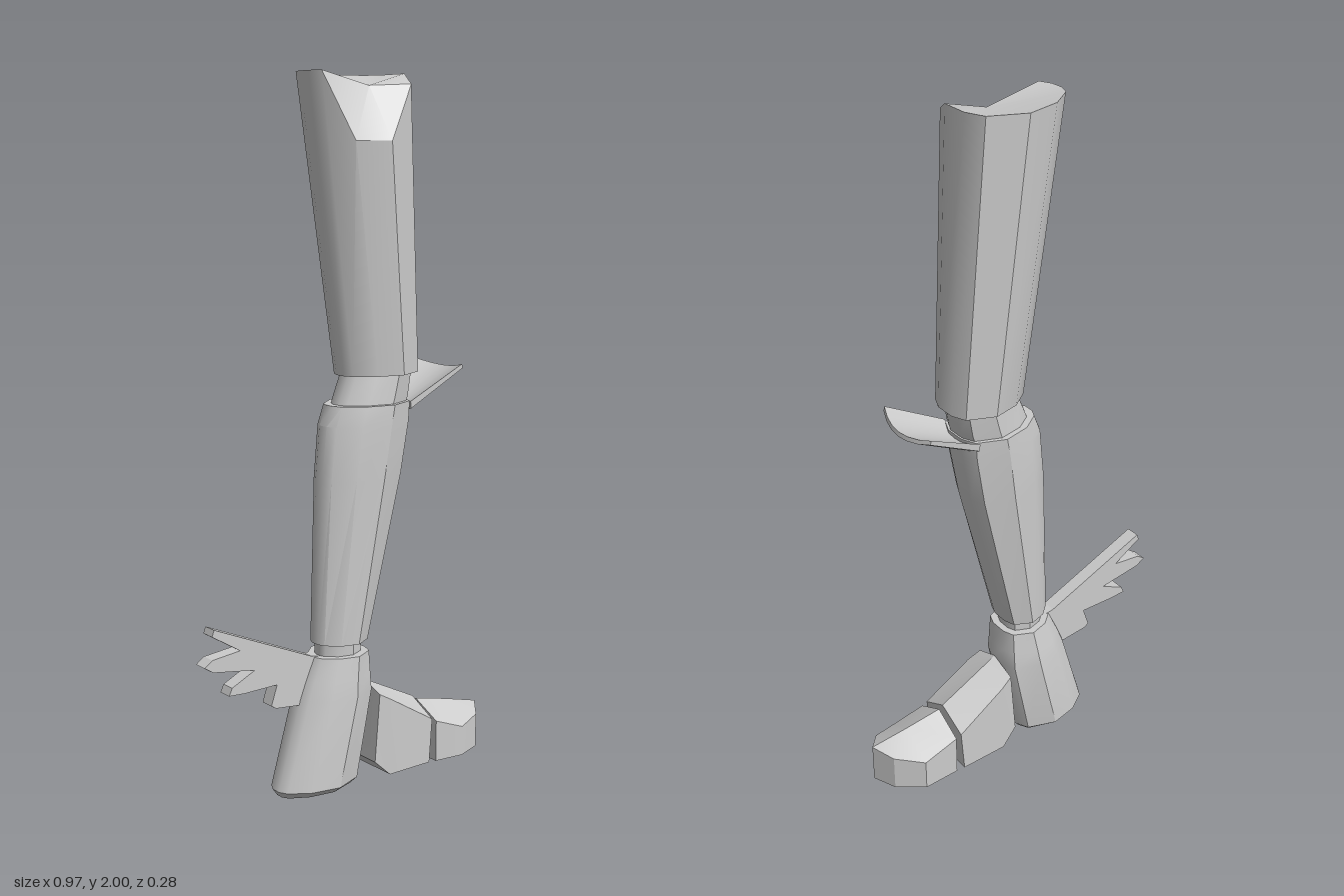
import * as THREE from 'three';
import { toCreasedNormals } from 'three/addons/utils/BufferGeometryUtils.js';

const grey = new THREE.MeshStandardMaterial({ color: 0xcccccc });

// Half of the limb cross-section (unit x, unit z), mirrored across z
const HALF = [[1, 0.3], [0.85, 0.7], [0.2, 1], [-0.45, 0.8], [-0.9, 0.4], [-1, 0.15]];
const SECTION = [...HALF, ...HALF.slice().reverse().map(([u, v]) => [u, -v])];

// Skin rings of points and close both ends with fans
function loft(rings, endCentre) {
  const pos = [];
  const tri = (...pts) => pts.forEach((p) => pos.push(...p));
  const n = rings[0].length;
  const mid = (r) => [0, 1, 2].map((k) => r.reduce((s, p) => s + p[k], 0) / n);
  const first = rings[0], last = rings[rings.length - 1];
  const c0 = mid(first), c1 = endCentre || mid(last);
  for (let i = 0; i < n; i++) {
    const j = (i + 1) % n;
    for (let k = 0; k < rings.length - 1; k++) {
      const a = rings[k], b = rings[k + 1];
      tri(a[i], b[i], a[j]);
      tri(a[j], b[i], b[j]);
    }
    tri(c0, first[i], first[j]);
    tri(c1, last[j], last[i]);
  }
  const geo = new THREE.BufferGeometry();
  geo.setAttribute('position', new THREE.Float32BufferAttribute(pos, 3));
  return toCreasedNormals(geo, 0.5);
}

// Horizontal limb ring: height, x range, half depth
function limbRing([y, x0, x1, d, z = 0]) {
  return SECTION.map(([u, v]) => [(x0 + x1) / 2 + u * (x1 - x0) / 2, y, z + v * d]);
}

export function createModel() {
  const model = new THREE.Group();
  model.name = 'armouredLeg';
  const add = (name, geo) => {
    const mesh = new THREE.Mesh(geo, grey);
    mesh.name = name;
    model.add(mesh);
  };
  const limb = (name, rows) => add(name, loft(rows.map(limbRing)));

  // Thigh, with the outer side of the top rim cut down
  const rim = limbRing([2, -0.14, 0.17, 0.14]);
  rim[1][1] = 1.97;
  rim[2][1] = rim[3][1] = 1.82;
  add('thigh', loft([limbRing([1.185, -0.02, 0.22, 0.105]), rim], [0.04, 1.965, 0.05]));

  limb('kneeJoint', [[1.09, -0.04, 0.18, 0.09], [1.12, -0.03, 0.19, 0.09], [1.19, 0, 0.2, 0.09]]);
  limb('shin', [
    [0.43, -0.11, 0.045, 0.082], [0.9, -0.095, 0.162, 0.1],
    [1.05, -0.08, 0.188, 0.105], [1.105, -0.058, 0.19, 0.105],
  ]);
  limb('ankleJoint', [[0.38, -0.1, 0.03, 0.062], [0.44, -0.1, 0.03, 0.062]]);
  limb('heel', [
    [0.005, -0.235, -0.005, 0.075, -0.005], [0.025, -0.248, 0.01, 0.098, -0.005],
    [0.28, -0.17, 0.06, 0.1, -0.005], [0.33, -0.15, 0.056, 0.093, -0.003], [0.395, -0.12, 0.05, 0.085],
  ]);

  // Knee guard: a thin flared plate, bowed outwards
  const guard = [];
  for (let i = 0; i <= 6; i++) {
    const t = i / 3 - 1, b = t * t;
    const zi = t * 0.085, zo = t * 0.113 - 0.012;
    guard.push([
      [0.185 - 0.02 * b, 1.09 + 0.015 * b, zi], [0.372 - 0.027 * b, 1.18 + 0.017 * b, zo],
      [0.375 - 0.027 * b, 1.168 + 0.017 * b, zo], [0.188 - 0.02 * b, 1.07 + 0.015 * b, zi],
    ]);
  }
  add('kneeGuard', loft(guard));

  // Instep: ridged sections from back to front (x top, x bottom, sole, side, ridge, half width)
  const instep = [
    [0.062, 0.045, 0.06, 0.262, 0.29, 0.08],
    [0.1, 0.095, 0.012, 0.24, 0.27, 0.088],
    [0.253, 0.243, 0.012, 0.145, 0.192, 0.093],
  ].map(([xt, xb, y0, y1, y2, w]) => [
    [xb, y0, w], [xt, y1, w], [xt, y2, 0.004], [xt, y1, -w], [xb, y0, -w],
  ]);
  add('instep', loft(instep));

  // Toe cap: plan outline with the height of the upper edge (x, z, y)
  const toe = [
    [0.485, 0.03, 0.13], [0.44, 0.085, 0.113], [0.36, 0.11, 0.1], [0.268, 0.095, 0.135],
    [0.265, 0.005, 0.182], [0.268, -0.09, 0.135], [0.38, -0.095, 0.105], [0.455, -0.04, 0.12],
  ];
  add('toeCap', loft(
    [toe.map(([x, z]) => [x, 0.01, z]), toe.map(([x, z, y]) => [x, y, z])],
    [0.375, 0.157, 0.015],
  ));

  // Feathered wing on the back of the ankle
  const wing = new THREE.Shape([
    [-0.1, 0.395], [-0.13, 0.4], [-0.455, 0.543], [-0.462, 0.525], [-0.372, 0.468],
    [-0.462, 0.46], [-0.487, 0.443], [-0.46, 0.425], [-0.325, 0.402],
    [-0.4, 0.368], [-0.41, 0.347], [-0.36, 0.343], [-0.25, 0.343],
    [-0.27, 0.285], [-0.255, 0.275], [-0.175, 0.265], [-0.13, 0.28],
  ].map(([x, y]) => new THREE.Vector2(x, y)));
  const wingGeo = new THREE.ExtrudeGeometry(wing, { depth: 0.042, bevelEnabled: false });
  wingGeo.translate(0, 0, -0.033);
  add('ankleWing', wingGeo);

  return model;
}
